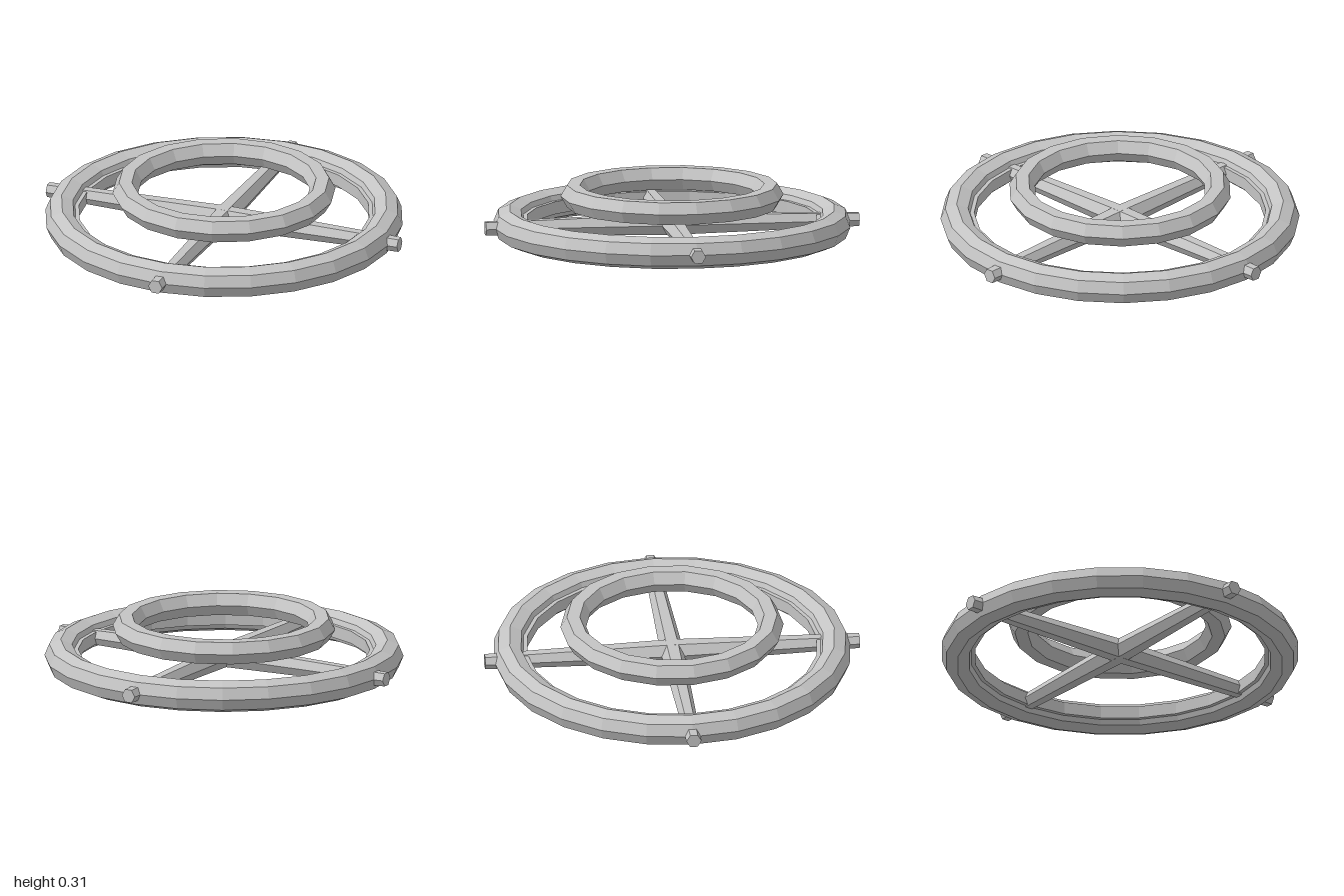
import * as THREE from 'three';

const AXLE_Y = 0.09;

export function createModel() {
  const group = new THREE.Group();
  const metal = new THREE.MeshStandardMaterial({ color: 0xc4c4c4 });
  metal.name = 'light grey metal';
  metal.flatShading = true;

  const add = (name, geometry, y) => {
    const mesh = new THREE.Mesh(geometry, metal);
    mesh.name = name;
    mesh.position.y = y;
    group.add(mesh);
    return mesh;
  };

  // Large rim: octagonal tube
  add('outerRim', new THREE.TorusGeometry(0.91, 0.09, 8, 24).rotateX(Math.PI / 2), AXLE_Y);

  // Flat band lining the inside of the rim
  const section = [[0.86, -0.035], [0.86, 0.035], [0.812, 0.035], [0.812, -0.035], [0.86, -0.035]];
  add('innerBand', new THREE.LatheGeometry(section.map(([r, y]) => new THREE.Vector2(r, y)), 24), AXLE_Y);

  // Small raised ring: hexagonal tube
  add('raisedRing', new THREE.TorusGeometry(0.55, 0.072, 6, 18).rotateX(Math.PI / 2), 0.252);

  // Four tapered hexagonal spokes that poke out through the rim
  const length = 1.05;
  for (let i = 0; i < 4; i++) {
    const spoke = new THREE.CylinderGeometry(0.042, 0.066, length, 6)
      .translate(0, length / 2, 0)
      .rotateZ(-Math.PI / 2);
    add('spoke' + (i + 1), spoke, AXLE_Y).rotation.y = Math.PI / 4 + (i * Math.PI) / 2;
  }

  return group;
}
